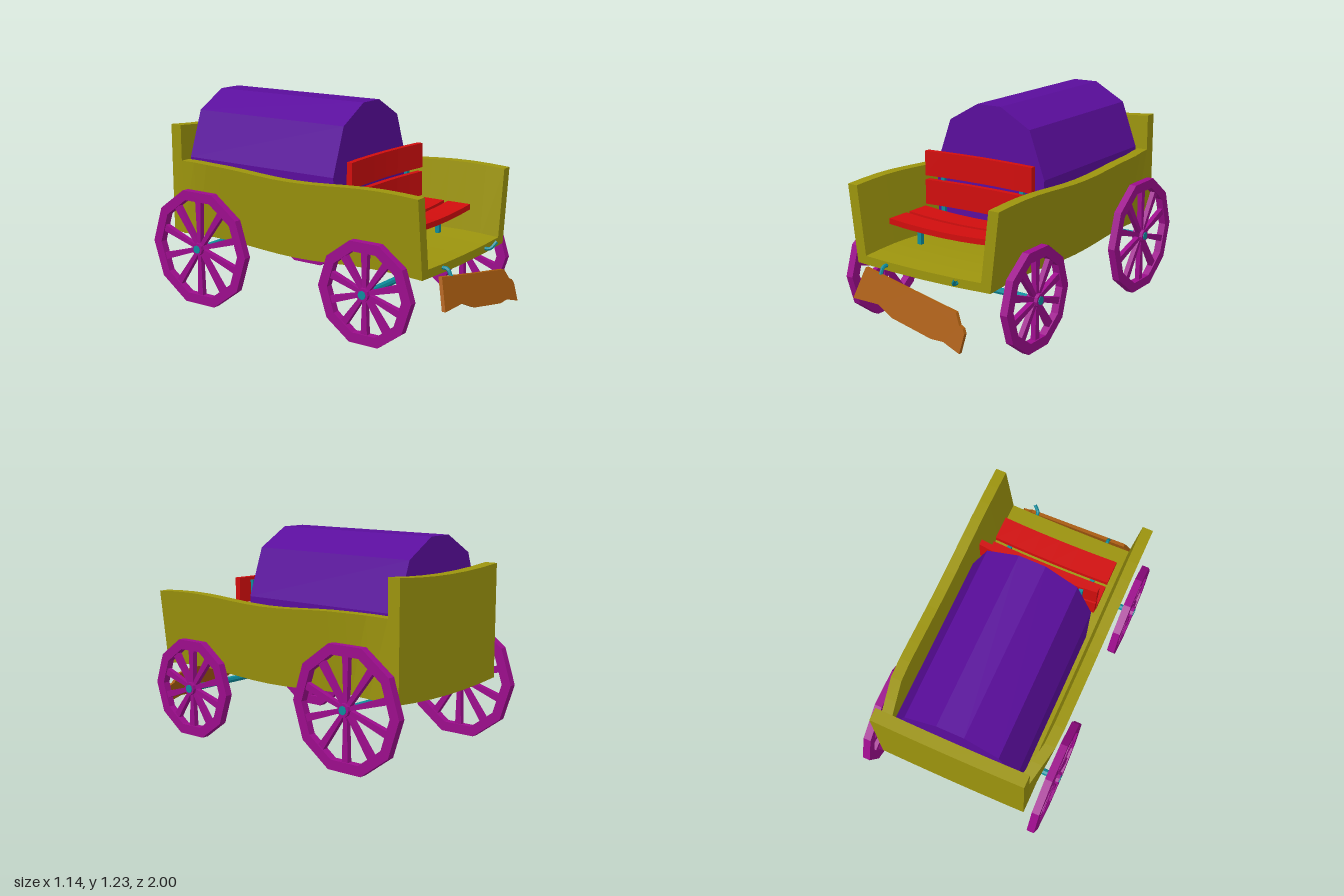
import * as THREE from 'three';

const material = (color) => new THREE.MeshStandardMaterial({ color, flatShading: true });
const olive = material(0x9c940d), purple = material(0x5a0d9c), red = material(0xd00d0d);
const magenta = material(0x9c0d8c), teal = material(0x0d8c9c), brown = material(0xa85c10);

export function createModel() {
  const model = new THREE.Group();
  model.name = 'wagon';

  const add = (name, geometry, mat, x = 0, y = 0, z = 0, parent = model) => {
    const mesh = new THREE.Mesh(geometry, mat);
    mesh.name = name;
    mesh.position.set(x, y, z);
    parent.add(mesh);
    return mesh;
  };
  // Move every vertex of a geometry by a rule
  const bend = (geometry, rule) => {
    const p = geometry.attributes.position, v = new THREE.Vector3();
    for (let i = 0; i < p.count; i++) {
      rule(v.fromBufferAttribute(p, i));
      p.setXYZ(i, v.x, v.y, v.z);
    }
    geometry.computeVertexNormals();
    return geometry;
  };
  const box = (w, h, d, ...segments) => new THREE.BoxGeometry(w, h, d, ...segments);
  const shapeOf = (points) => new THREE.Shape(points.map(([x, y]) => new THREE.Vector2(x, y)));
  const extrude = (shape, depth) => new THREE.ExtrudeGeometry(shape, { depth, bevelEnabled: false });
  const axial = (r, length, sides) => new THREE.CylinderGeometry(r, r, length, sides).rotateZ(Math.PI / 2);
  const wave = (z) => -0.0125 * Math.cos(z * 5.4);

  // Bed floor, sagging lightly across and along
  add('bedFloor', bend(box(0.9, 0.05, 1.69, 4, 1, 14), (v) => {
    v.y += 0.415 + wave(v.z) - 0.012 * (1 - (v.x / 0.45) ** 2);
  }), olive);

  // Leaning side boards that straighten up toward the tail
  for (const side of [1, -1]) {
    add(side > 0 ? 'leftSideBoard' : 'rightSideBoard', bend(box(0.065, 1, 1.69, 1, 1, 14), (v) => {
      const t = v.y + 0.5;
      const flare = 0.055 * THREE.MathUtils.clamp((v.z + 0.845) / 0.265, 0, 1);
      v.x += side * (0.4225 + t * flare);
      v.y = THREE.MathUtils.lerp(0.39, 0.8375, t) + wave(v.z);
    }), olive);
  }

  // Tall tailboard with curved top and bottom
  add('tailBoard', bend(box(0.91, 0.66, 0.075, 6, 1, 1), (v) => {
    v.y += 0.725 - 0.022 * (1 - (v.x / 0.455) ** 2);
  }), olive, 0, 0, -0.8825);

  // Faceted canopy
  const half = [[0.37, 0.43], [0.375, 0.85], [0.275, 1.125], [0.08, 1.235]];
  const arch = [...half, ...half.map(([x, y]) => [-x, y]).reverse()];
  add('canopy', extrude(shapeOf(arch), 1.06), purple, 0, 0, -0.845);

  // Bench: two curved back planks and two curved seat planks
  const bench = new THREE.Group();
  bench.name = 'bench';
  model.add(bench);
  const bow = (x) => 1 - (x / 0.37) ** 2;
  for (const y of [0.703, 0.875]) {
    add('backPlank', bend(box(0.74, 0.147, 0.035, 6, 1, 1), (v) => { v.z -= 0.02 * bow(v.x); }),
      red, 0, y, 0.32, bench);
  }
  for (const z of [0.417, 0.593]) {
    add('seatPlank', bend(box(0.74, 0.033, 0.148, 6, 1, 1), (v) => { v.y -= 0.018 * bow(v.x); }),
      red, 0, 0.603, z, bench);
  }
  for (const x of [-0.275, 0.275]) {
    add('backPost', box(0.026, 0.51, 0.022), teal, x, 0.675, 0.287, bench);
    add('seatRail', box(0.026, 0.022, 0.32), teal, x, 0.568, 0.44, bench);
    add('frontLeg', box(0.026, 0.14, 0.026), teal, x, 0.5, 0.51, bench);
  }

  // Ten-sided spoked wheel with its hub
  const polygon = (r) => Array.from({ length: 10 }, (_, i) =>
    [r * Math.cos(i * Math.PI / 5), r * Math.sin(i * Math.PI / 5)]);
  const makeWheel = (name, r, x, y, z) => {
    const wheel = new THREE.Group();
    wheel.name = name;
    wheel.position.set(x, y, z);
    model.add(wheel);
    const rim = shapeOf(polygon(r));
    rim.holes.push(new THREE.Path(shapeOf(polygon(r - 0.06)).getPoints().reverse()));
    add('rim', extrude(rim, 0.045).translate(0, 0, -0.0225).rotateY(Math.PI / 2), magenta, 0, 0, 0, wheel);
    const inner = 0.025, outer = (r - 0.06) * Math.cos(Math.PI / 10) + 0.01;
    for (let i = 0; i < 10; i++) {
      // Each spoke widens toward the rim
      const spoke = bend(box(0.03, outer - inner, 0.042), (v) => {
        if (v.y < 0) v.z *= 0.55;
        v.y += (outer + inner) / 2;
      });
      add('spoke', spoke.rotateX(i * Math.PI / 5), magenta, 0, 0, 0, wheel);
    }
    add('hub', axial(0.038, 0.07, 10), magenta, 0, 0, 0, wheel);
  };

  // Axles with end caps, wheels and posts up to the bed
  for (const [name, r, y, z] of [['front', 0.3, 0.286, 0.54], ['rear', 0.36, 0.345, -0.64]]) {
    add(name + 'Axle', axial(0.02, 1.12, 8), teal, 0, y, z);
    for (const side of [1, -1]) {
      makeWheel(name + (side > 0 ? 'LeftWheel' : 'RightWheel'), r, side * 0.533, y, z);
      add('axleCap', axial(0.025, 0.03, 8), teal, side * 0.557, y, z);
    }
    add(name + 'Post', box(0.075, 0.4 - y, 0.05), teal, 0, (0.4 + y) / 2, z);
  }
  // Reach bar between the axles
  const reach = add('reachBar', box(0.075, 0.024, 1.18), teal, 0, 0.316, -0.05);
  reach.rotation.x = Math.atan2(0.059, 1.18);

  // Hooks on the front edge
  const hook = (name, points) => add(name, new THREE.TubeGeometry(
    new THREE.CatmullRomCurve3(points.map((p) => new THREE.Vector3(...p))), 8, 0.011, 6), teal);
  hook('rightHook', [[-0.245, 0.41, 0.82], [-0.245, 0.412, 0.875], [-0.245, 0.37, 0.9]]);
  hook('leftHook', [[0.24, 0.41, 0.82], [0.24, 0.412, 0.875], [0.272, 0.45, 0.9]]);

  // Broken footboard hanging at a slant
  const outline = [[-0.35, 0.397], [-0.4, 0.225], [-0.22, 0.225], [-0.11, 0.175], [0.17, 0.125],
    [0.25, 0.127], [0.365, 0.09], [0.375, 0.19], [0.36, 0.215], [0.335, 0.225], [0.3, 0.285], [0, 0.335]];
  add('footboard', bend(extrude(shapeOf(outline), 0.022), (v) => { v.z += 0.88 + (0.4 - v.y) * 0.315; }), brown);

  return model;
}
